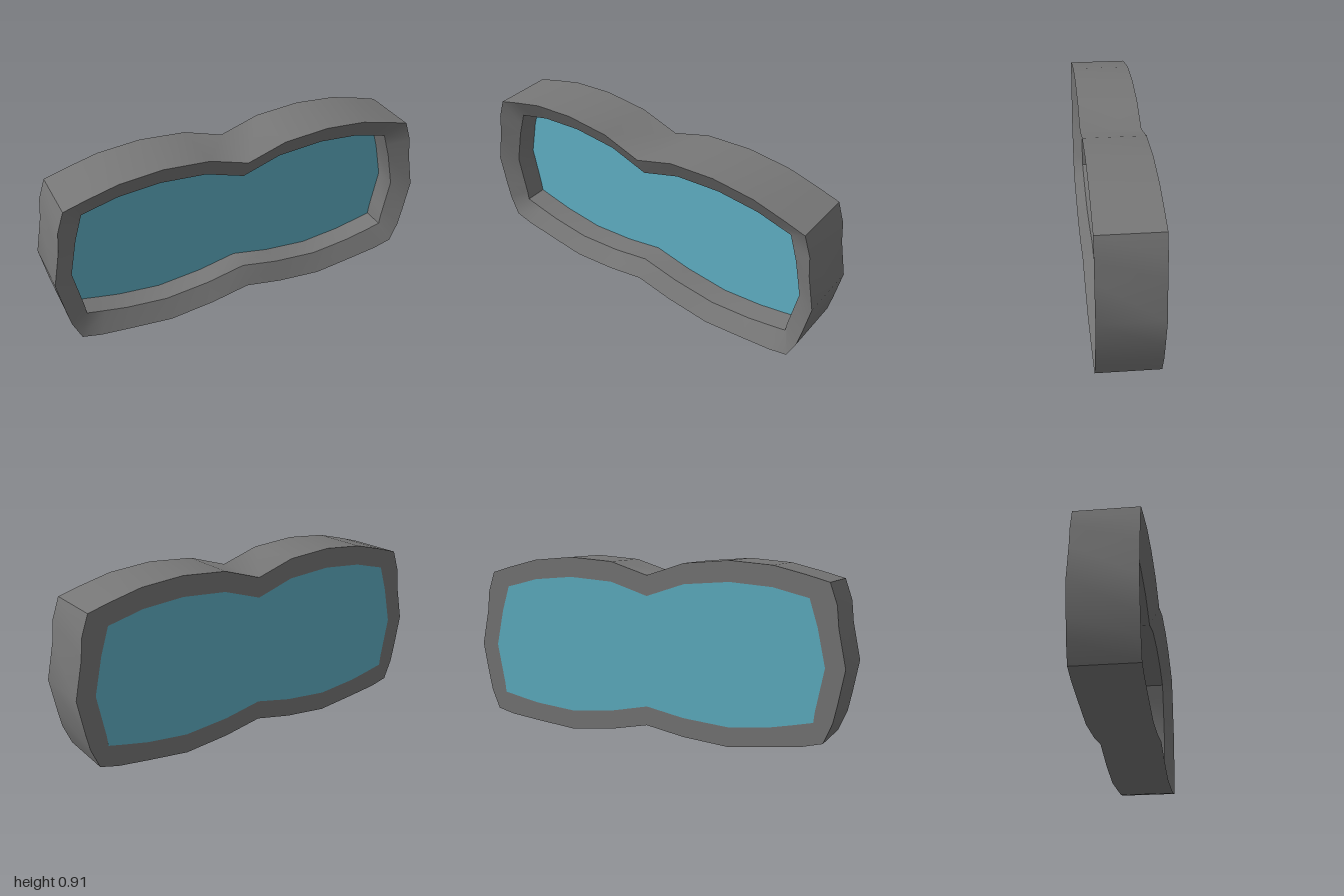
import * as THREE from 'three';
import { toCreasedNormals } from 'three/addons/utils/BufferGeometryUtils.js';

const FRONT = 0.1525, BACK = -0.1525, BEVEL = 0.1, WATER = -0.015;

// Right halves of the outlines, from top centre clockwise to bottom centre
const OUTER = [
  [0, 0.825], [0.2, 0.889], [0.435, 0.907], [0.65, 0.889], [0.81, 0.849], [0.918, 0.818],
  [0.953, 0.715], [0.963, 0.61], [1, 0.425], [0.968, 0.26], [0.948, 0.17], [0.905, 0.07],
  [0.81, 0.046], [0.65, 0.026], [0.435, 0.002], [0.2, 0.026], [0, 0.065],
];
const INNER = [
  [0, 0.722], [0.2, 0.787], [0.435, 0.805], [0.65, 0.787], [0.74, 0.764], [0.825, 0.743],
  [0.846, 0.675], [0.866, 0.61], [0.905, 0.425], [0.872, 0.26], [0.863, 0.215], [0.857, 0.165],
  [0.76, 0.144], [0.65, 0.122], [0.435, 0.1], [0.2, 0.122], [0, 0.162],
];

// Close a half outline by mirroring it across x = 0
function mirrored(half) {
  const left = half.slice(1, -1).reverse().map(([x, y]) => [-x, y]);
  return [...half, ...left];
}

// Skin a series of matching loops, each given as [outline, z]
function skin(loops) {
  const positions = [];
  for (let k = 0; k < loops.length - 1; k++) {
    const [a, za] = loops[k], [b, zb] = loops[k + 1];
    for (let i = 0; i < a.length; i++) {
      const j = (i + 1) % a.length;
      positions.push(
        ...a[i], za, ...b[i], zb, ...a[j], za,
        ...b[i], zb, ...b[j], zb, ...a[j], za,
      );
    }
  }
  const geometry = new THREE.BufferGeometry();
  geometry.setAttribute('position', new THREE.Float32BufferAttribute(positions, 3));
  return toCreasedNormals(geometry, 0.7);
}

export function createModel() {
  const group = new THREE.Group();
  const outer = mirrored(OUTER), inner = mirrored(INNER);

  // Rim: flat back, straight outer wall, sloped front lip and inner wall
  const rim = new THREE.Mesh(
    skin([[inner, BACK], [outer, BACK], [outer, FRONT], [inner, BEVEL], [inner, WATER]]),
    new THREE.MeshStandardMaterial({ color: 0x777777 }),
  );
  rim.name = 'rim';
  group.add(rim);

  // Blue panel: recessed at the front, flush with the rim at the back
  const shape = new THREE.Shape(inner.map(([x, y]) => new THREE.Vector2(x, y)));
  const panel = new THREE.Mesh(
    new THREE.ExtrudeGeometry(shape, { depth: WATER - BACK, bevelEnabled: false }),
    new THREE.MeshStandardMaterial({ color: 0x5fb0c4 }),
  );
  panel.position.z = BACK;
  panel.name = 'bluePanel';
  group.add(panel);

  return group;
}
